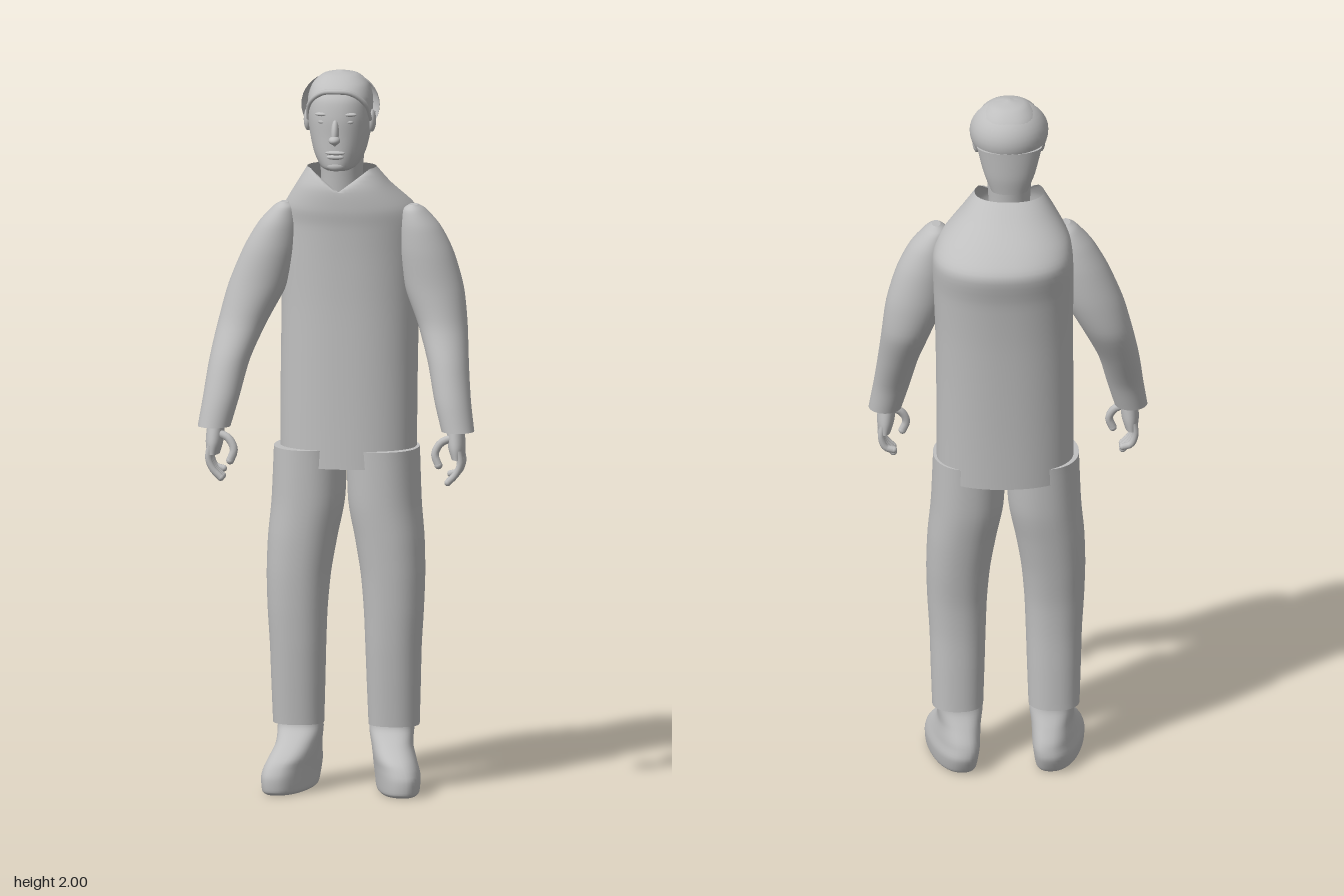
import * as THREE from 'three';

const gray = new THREE.MeshStandardMaterial({ color: 0xbfbfbf, side: THREE.DoubleSide });
gray.name = 'plain gray';

// Closed smooth skin through horizontal sections [y, centreX, halfWidth, zBack, zFront], listed upwards.
// power < 1 makes the ring boxier; warp(v) can adjust each point.
function loft(name, sections, { power = 1, warp = null, N = 40, capTop = true } = {}) {
  const mid = new THREE.CatmullRomCurve3(
    sections.map(([y, x, , b, f]) => new THREE.Vector3(x, y, (b + f) / 2)), false, 'catmullrom', 0.4);
  const rad = new THREE.CatmullRomCurve3(
    sections.map(([, , w, b, f]) => new THREE.Vector3(w, 0, (f - b) / 2)), false, 'catmullrom', 0.4);
  const rows = (sections.length - 1) * 5;
  const pos = [], idx = [];
  const soft = (a) => Math.sign(a) * Math.abs(a) ** power;
  const v = new THREE.Vector3();
  const ring = (i) => {
    const c = mid.getPoint(i / rows), r = rad.getPoint(i / rows);
    for (let j = 0; j < N; j++) {
      const t = (j / N) * Math.PI * 2;
      v.set(c.x + r.x * soft(Math.sin(t)), c.y, c.z + r.z * soft(Math.cos(t)));
      if (warp) warp(v);
      pos.push(v.x, v.y, v.z);
    }
    return c;
  };
  for (let i = 0; i <= rows; i++) ring(i);
  for (let i = 0; i < rows; i++) {
    for (let j = 0; j < N; j++) {
      const a = i * N + j, b = i * N + (j + 1) % N;
      idx.push(a, b, a + N, b, b + N, a + N);
    }
  }
  // flat end caps with their own vertices
  for (const top of capTop ? [false, true] : [false]) {
    const base = pos.length / 3;
    const c = ring(top ? rows : 0);
    v.copy(c);
    if (warp) warp(v);
    pos.push(v.x, v.y, v.z);
    for (let j = 0; j < N; j++) {
      const a = base + j, b = base + (j + 1) % N;
      idx.push(...(top ? [a, b, base + N] : [b, a, base + N]));
    }
  }
  const g = new THREE.BufferGeometry();
  g.setAttribute('position', new THREE.Float32BufferAttribute(pos, 3));
  g.setIndex(idx);
  g.computeVertexNormals();
  return part(name, g);
}

function part(name, geometry) {
  const m = new THREE.Mesh(geometry, gray);
  m.name = name;
  return m;
}

function blob(name, x, y, z, rx, ry, rz) {
  const m = part(name, new THREE.SphereGeometry(1, 20, 14));
  m.position.set(x, y, z);
  m.scale.set(rx, ry, rz);
  return m;
}

// Rounded finger along a curve
function finger(name, points, r) {
  const g = new THREE.Group();
  g.name = name;
  const pts = points.map((p) => new THREE.Vector3(...p));
  g.add(part(name + 'Shaft', new THREE.TubeGeometry(new THREE.CatmullRomCurve3(pts), 10, r, 10)));
  const e = pts[pts.length - 1];
  g.add(blob(name + 'Tip', e.x, e.y, e.z, r, r, r));
  return g;
}

function makeHead() {
  const head = new THREE.Group();
  head.name = 'head';
  head.add(loft('neck', [
    [1.6, 0, 0.06, -0.03, 0.08], [1.7, 0, 0.057, -0.03, 0.09], [1.78, 0, 0.062, -0.04, 0.1],
  ]));
  head.add(loft('skull', [
    [1.735, 0, 0.035, 0.05, 0.15], [1.745, 0, 0.052, -0.01, 0.165], [1.78, 0, 0.07, -0.035, 0.167],
    [1.83, 0, 0.082, -0.043, 0.166], [1.88, 0, 0.088, -0.048, 0.166], [1.93, 0, 0.088, -0.046, 0.157],
    [1.965, 0, 0.076, -0.028, 0.132], [1.99, 0, 0.048, 0.0, 0.095], [2.0, 0, 0.004, 0.044, 0.056],
  ], { power: 0.92 }));
  // back hair shell, cut straight ahead of the ears
  const hair = part('backHair', new THREE.SphereGeometry(1, 24, 20, Math.PI, Math.PI));
  hair.position.set(0, 1.905, 0.06);
  hair.scale.set(0.108, 0.094, 0.114);
  head.add(hair);
  head.add(loft('napeHair', [
    [1.75, 0, 0.05, -0.036, 0.03], [1.8, 0, 0.07, -0.045, 0.05], [1.88, 0, 0.09, -0.05, 0.06],
  ]));
  // raised hairline over the forehead
  const line = new THREE.CatmullRomCurve3([
    [-0.085, 1.87, 0.085], [-0.075, 1.92, 0.12], [-0.04, 1.95, 0.142], [0, 1.955, 0.15],
    [0.04, 1.95, 0.142], [0.075, 1.92, 0.12], [0.085, 1.87, 0.085],
  ].map((p) => new THREE.Vector3(...p)));
  head.add(part('hairline', new THREE.TubeGeometry(line, 30, 0.007, 8)));
  // face
  const nose = blob('nose', 0, 1.845, 0.168, 0.011, 0.038, 0.018);
  nose.rotation.x = -0.3;
  head.add(nose, blob('noseTip', 0, 1.825, 0.18, 0.016, 0.012, 0.02));
  head.add(blob('upperLip', 0, 1.788, 0.165, 0.028, 0.006, 0.01));
  head.add(blob('lowerLip', 0, 1.776, 0.164, 0.024, 0.007, 0.01));
  head.add(blob('chin', 0, 1.75, 0.152, 0.026, 0.015, 0.016));
  for (const s of [-1, 1]) {
    head.add(blob('eye', s * 0.034, 1.872, 0.15, 0.015, 0.007, 0.01));
    head.add(blob('brow', s * 0.036, 1.893, 0.15, 0.022, 0.006, 0.012));
    head.add(blob('ear', s * 0.088, 1.865, 0.068, 0.012, 0.032, 0.02));
  }
  return head;
}

function makeArm(s) {
  const arm = new THREE.Group();
  arm.name = s > 0 ? 'leftArm' : 'rightArm';
  // shoulders sit slightly towards the model's left
  const shift = (v) => { v.x += 0.022 * THREE.MathUtils.smoothstep(v.y, 1.15, 1.6); };
  arm.add(loft('sleeve', [
    [1.02, s * 0.337, 0.045, 0.1, 0.195], [1.1, s * 0.32, 0.05, 0.075, 0.18],
    [1.2, s * 0.302, 0.056, 0.025, 0.152], [1.3, s * 0.276, 0.068, -0.022, 0.116],
    [1.4, s * 0.244, 0.081, -0.036, 0.104], [1.5, s * 0.216, 0.074, -0.035, 0.102],
    [1.57, s * 0.196, 0.056, -0.025, 0.095], [1.615, s * 0.18, 0.032, -0.008, 0.08],
    [1.63, s * 0.178, 0.012, 0.02, 0.06],
  ], { warp: shift }));
  arm.add(loft('palm', [
    [0.945, s * 0.338, 0.017, 0.115, 0.192], [0.98, s * 0.335, 0.024, 0.113, 0.193],
    [1.04, s * 0.33, 0.024, 0.118, 0.18],
  ]));
  for (let i = 0; i < 4; i++) {
    const z = 0.125 + i * 0.019, low = 0.882 + (i === 0 ? 0.016 : 0);
    arm.add(finger('finger', [
      [s * 0.343, 0.97, z], [s * 0.348, 0.935, z], [s * 0.336, 0.905, z], [s * 0.314, low, z],
    ], 0.0095));
  }
  arm.add(finger('thumb', [
    [s * 0.325, 1.005, 0.168], [s * 0.293, 0.99, 0.175], [s * 0.278, 0.96, 0.18], [s * 0.288, 0.93, 0.182],
  ], 0.011));
  return arm;
}

function makeLeg(s) {
  const leg = new THREE.Group();
  leg.name = s > 0 ? 'leftLeg' : 'rightLeg';
  leg.position.x = 0.01;
  leg.add(loft('trouserLeg', [
    [0.18, s * 0.132, 0.07, -0.052, 0.075], [0.3, s * 0.132, 0.074, -0.052, 0.088],
    [0.4, s * 0.132, 0.077, -0.052, 0.098], [0.5, s * 0.133, 0.082, -0.058, 0.106],
    [0.6, s * 0.13, 0.088, -0.073, 0.112], [0.7, s * 0.12, 0.095, -0.09, 0.116],
    [0.8, s * 0.106, 0.1, -0.106, 0.118], [0.95, s * 0.1, 0.1, -0.118, 0.12],
  ], { power: 0.92 }));
  // feet turned slightly outwards
  leg.add(loft('shoe', [
    [0, s * 0.147, 0.05, -0.06, 0.175], [0.01, s * 0.147, 0.058, -0.075, 0.188],
    [0.05, s * 0.147, 0.062, -0.092, 0.189], [0.09, s * 0.14, 0.06, -0.086, 0.168],
    [0.13, s * 0.132, 0.058, -0.066, 0.115], [0.17, s * 0.128, 0.062, -0.046, 0.072],
    [0.21, s * 0.128, 0.06, -0.042, 0.065],
  ], { power: 0.85, warp: (v) => { v.x += s * 0.22 * (v.z - 0.05) * THREE.MathUtils.clamp(1.6 - v.y * 8, 0, 1); } }));
  return leg;
}

export function createModel() {
  const model = new THREE.Group();
  model.name = 'standingMan';
  // long jacket with a hunched back and a V notch at the throat
  const notch = (v) => { if (v.z > 0.03) v.y = Math.min(v.y, 1.668 + 0.75 * Math.abs(v.x)); };
  model.add(loft('jacket', [
    [0.9, 0.013, 0.187, -0.138, 0.118], [1.05, 0.013, 0.188, -0.146, 0.115],
    [1.2, 0.014, 0.188, -0.156, 0.113], [1.35, 0.016, 0.189, -0.168, 0.112],
    [1.48, 0.018, 0.192, -0.184, 0.115], [1.57, 0.02, 0.192, -0.202, 0.12],
    [1.62, 0.014, 0.176, -0.165, 0.126], [1.68, 0.004, 0.13, -0.095, 0.124],
    [1.73, 0, 0.095, -0.042, 0.1],
  ], { power: 0.9, warp: notch, N: 64, capTop: false }));
  model.add(makeHead());
  for (const s of [-1, 1]) model.add(makeArm(s), makeLeg(s));
  return model;
}
